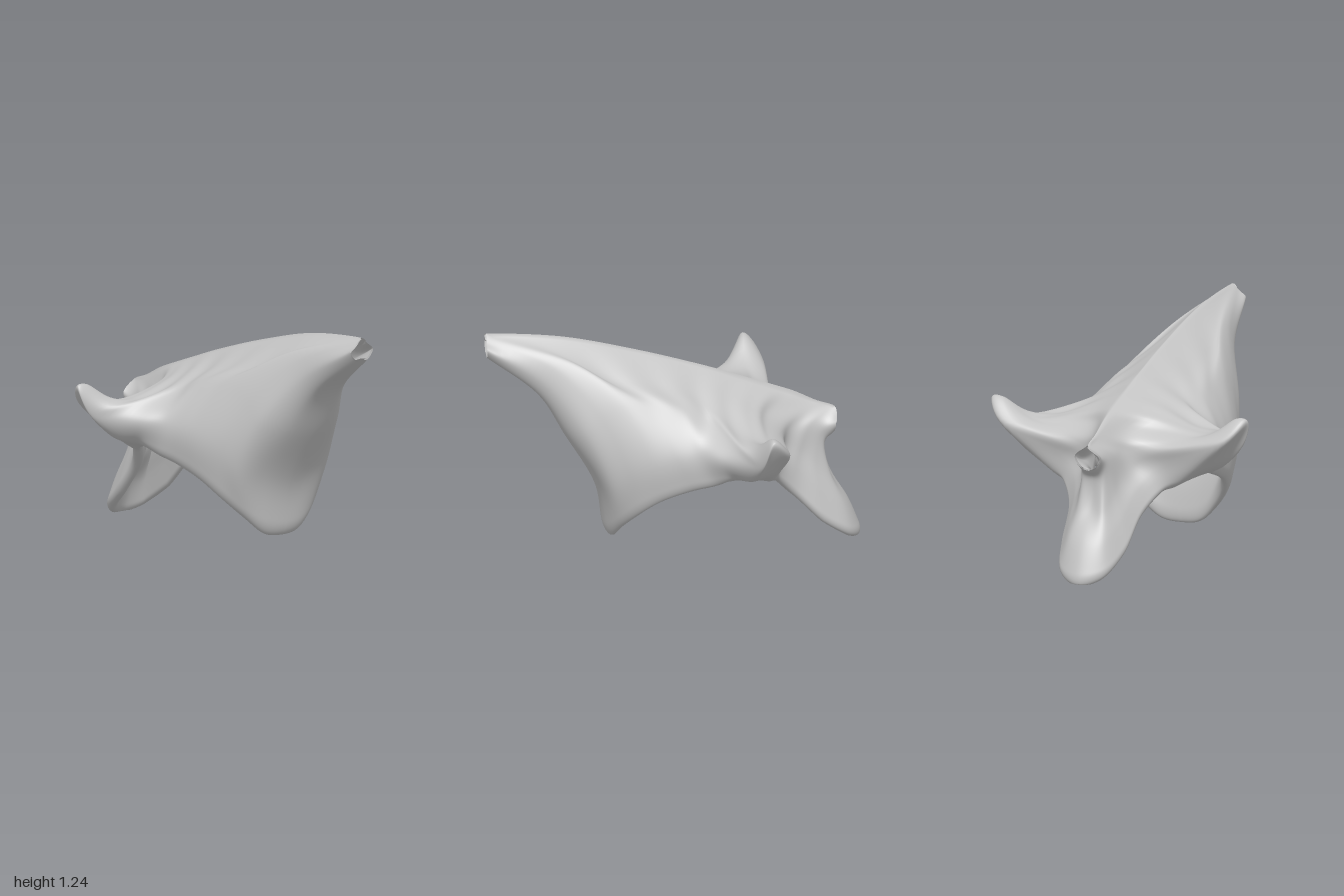
import * as THREE from 'three';
import { mergeVertices } from 'three/addons/utils/BufferGeometryUtils.js';

// Left-half cross-sections: each rib runs from the spine (or an end opening) down to the rim.
// Front lip, neck opening and flanks
const FRONT = [
  [[0, 1.12, 1], [0, 0.91, 0.74], [0, 0.66, 0.59], [0, 0.36, 0.425], [0, 0.07, 0.375]],
  [[0.045, 1.12, 1], [0.1, 0.92, 0.73], [0.16, 0.68, 0.57], [0.17, 0.4, 0.415], [0.13, 0.09, 0.36]],
  [[0.08, 1.17, 1], [0.15, 0.99, 0.7], [0.27, 0.72, 0.49], [0.3, 0.45, 0.37], [0.24, 0.18, 0.31]],
  [[0.042, 1.205, 1], [0.145, 1.08, 0.65], [0.28, 0.83, 0.41], [0.36, 0.56, 0.28], [0.335, 0.29, 0.22]],
  [[0, 1.24, 1], [0.14, 1.1, 0.54], [0.28, 0.9, 0.29], [0.395, 0.62, 0.16], [0.385, 0.38, 0.1]],
  [[0, 1.205, 0.6], [0.16, 1.035, 0.4], [0.28, 0.89, 0.15], [0.41, 0.65, 0.03], [0.41, 0.44, -0.05]],
  [[0, 1.11, 0.2], [0.16, 0.98, 0.13], [0.29, 0.86, -0.02], [0.43, 0.66, -0.09], [0.435, 0.475, -0.17]],
  [[0, 1.005, -0.15], [0.16, 0.91, -0.12], [0.31, 0.81, -0.17], [0.5, 0.67, -0.2], [0.455, 0.505, -0.25]],
];
// Side arms wrapping round to their undersides
const ARM = [
  [[0, 0.925, -0.38], [0.17, 0.86, -0.3], [0.38, 0.77, -0.31], [0.6, 0.745, -0.34], [0.67, 0.68, -0.38], [0.55, 0.56, -0.35], [0.4, 0.5, -0.32]],
  [[0, 0.875, -0.52], [0.2, 0.81, -0.42], [0.49, 0.75, -0.43], [0.68, 0.855, -0.45], [0.74, 0.82, -0.45], [0.58, 0.6, -0.43], [0.37, 0.475, -0.41]],
  [[0, 0.83, -0.64], [0.14, 0.76, -0.5], [0.37, 0.725, -0.5], [0.57, 0.74, -0.545], [0.62, 0.71, -0.55], [0.48, 0.58, -0.52], [0.34, 0.45, -0.48]],
];
// The cavity passes straight down inside the arm roots
const ARM_ROOT = [
  [[0, 0.925, -0.38], [0.17, 0.86, -0.3], [0.31, 0.77, -0.29], [0.41, 0.63, -0.3], [0.4, 0.5, -0.32]],
  [[0, 0.875, -0.52], [0.17, 0.81, -0.42], [0.3, 0.72, -0.41], [0.38, 0.59, -0.41], [0.37, 0.475, -0.41]],
  [[0, 0.83, -0.64], [0.14, 0.76, -0.5], [0.26, 0.68, -0.49], [0.34, 0.57, -0.49], [0.34, 0.45, -0.48]],
];
// Rear tube and tail flap
const TAIL = [
  [[0, 0.77, -0.76], [0.1, 0.69, -0.62], [0.2, 0.62, -0.565], [0.28, 0.56, -0.54], [0.29, 0.43, -0.54]],
  [[0, 0.73, -0.86], [0.08, 0.66, -0.72], [0.12, 0.53, -0.66], [0.18, 0.44, -0.635], [0.22, 0.32, -0.635]],
  [[0.075, 0.67, -0.86], [0.072, 0.6, -0.78], [0.1, 0.45, -0.75], [0.15, 0.3, -0.77], [0.195, 0.15, -0.79]],
  [[0.05, 0.61, -0.855], [0.05, 0.54, -0.8], [0.07, 0.37, -0.83], [0.1, 0.2, -0.9], [0.135, 0.04, -0.94]],
  [[0, 0.59, -0.85], [0, 0.53, -0.8], [0, 0.38, -0.82], [0, 0.2, -0.93], [0, 0, -1.01]],
];
const OUTER = ribCurves([...FRONT, ...ARM, ...TAIL]);
const INNER = ribCurves([...FRONT, ...ARM_ROOT, ...TAIL]);
const LAST = OUTER.length - 3;
const U_STEPS = LAST * 8, V_STEPS = 52;

// One curve per rib, plus a mirrored one past each midline
function ribCurves(ribs) {
  const n = ribs.length;
  const curve = (rib, sign) => new THREE.CatmullRomCurve3(
    rib.map(([x, y, z]) => new THREE.Vector3(sign * x, y, z)), false, 'catmullrom', 0.5);
  return [curve(ribs[1], -1), ...ribs.map((r) => curve(r, 1)), curve(ribs[n - 2], -1)];
}

// Smooth surface through the ribs, u in 0..LAST, v in 0..1
function surface(curves, u, v) {
  const i = Math.min(Math.floor(u), LAST - 1), t = u - i;
  const [a, b, c, d] = [0, 1, 2, 3].map((k) => curves[i + k].getPoint(v));
  const blend = (k) => {
    const m0 = (c[k] - a[k]) / 2, m1 = (d[k] - b[k]) / 2;
    const e = c[k] - b[k];
    return b[k] + m0 * t + (3 * e - 2 * m0 - m1) * t * t + (m0 + m1 - 2 * e) * t * t * t;
  };
  return new THREE.Vector3(Math.max(0, blend('x')), Math.max(0, blend('y')), Math.min(1, blend('z')));
}

// Outward direction of the wall, measured on the cavity side
function wallNormal(u, v) {
  const h = 0.01;
  const u0 = Math.max(0, u - h), u1 = Math.min(LAST, u + h);
  const v0 = Math.max(0, v - h), v1 = Math.min(1, v + h);
  const du = surface(INNER, u1, v).sub(surface(INNER, u0, v));
  const dv = surface(INNER, u, v1).sub(surface(INNER, u, v0));
  return dv.cross(du).normalize();
}

// Inward offset of each face of the wall: thin at the spine, meeting mid-wall in a rounded rim
function inset(v, inner) {
  const s = Math.min(1, (1 - v) / 0.07);
  const round = Math.sqrt(1 - (1 - s) ** 2);
  const top = 0.15 + 0.85 * Math.min(1, v / 0.3);
  return 0.03 * top * (inner ? 1 + round : 1 - round);
}

// Faint rib undulations across the back
function ripple(u, v) {
  const across = Math.sin(Math.PI * Math.min(1, v / 0.55));
  return 0.005 * across * Math.exp(-((u - 7) ** 2) / 4) * Math.sin(u * 7);
}

function shellGeometry() {
  const positions = [], index = [];
  const rows = V_STEPS + 1;
  for (const side of [1, -1]) {
    for (const curves of [OUTER, INNER]) {
      const inner = curves === INNER;
      const base = positions.length / 3;
      for (let i = 0; i <= U_STEPS; i++) {
        const midline = i === 0 || i === U_STEPS;
        for (let j = 0; j <= V_STEPS; j++) {
          // Rows gather towards the rim to round it
          const u = (i / U_STEPS) * LAST, v = 1 - (1 - j / V_STEPS) ** 1.5;
          const p = surface(curves, u, v), n = wallNormal(u, v);
          if (midline) n.setX(0).normalize();
          p.addScaledVector(n, ripple(u, v) - inset(v, inner));
          positions.push(midline ? 0 : side * Math.max(0, p.x), Math.max(0, p.y), p.z);
        }
      }
      const flip = (side < 0) !== inner;
      for (let i = 0; i < U_STEPS; i++) {
        for (let j = 0; j < V_STEPS; j++) {
          const a = base + i * rows + j, b = a + 1, c = a + rows, d = c + 1;
          if (flip) index.push(a, c, b, b, c, d);
          else index.push(a, b, c, b, d, c);
        }
      }
    }
  }
  const geometry = new THREE.BufferGeometry();
  geometry.setAttribute('position', new THREE.Float32BufferAttribute(positions, 3));
  geometry.setIndex(index);
  const welded = mergeVertices(geometry, 1e-5);
  welded.computeVertexNormals();
  return welded;
}

export function createModel() {
  const group = new THREE.Group();
  group.name = 'hollowTorso';
  const grey = new THREE.MeshStandardMaterial({ color: 0xc4c4c4, side: THREE.DoubleSide });
  grey.name = 'paleGrey';
  const shell = new THREE.Mesh(shellGeometry(), grey);
  shell.name = 'torsoShell';
  group.add(shell);
  return group;
}
